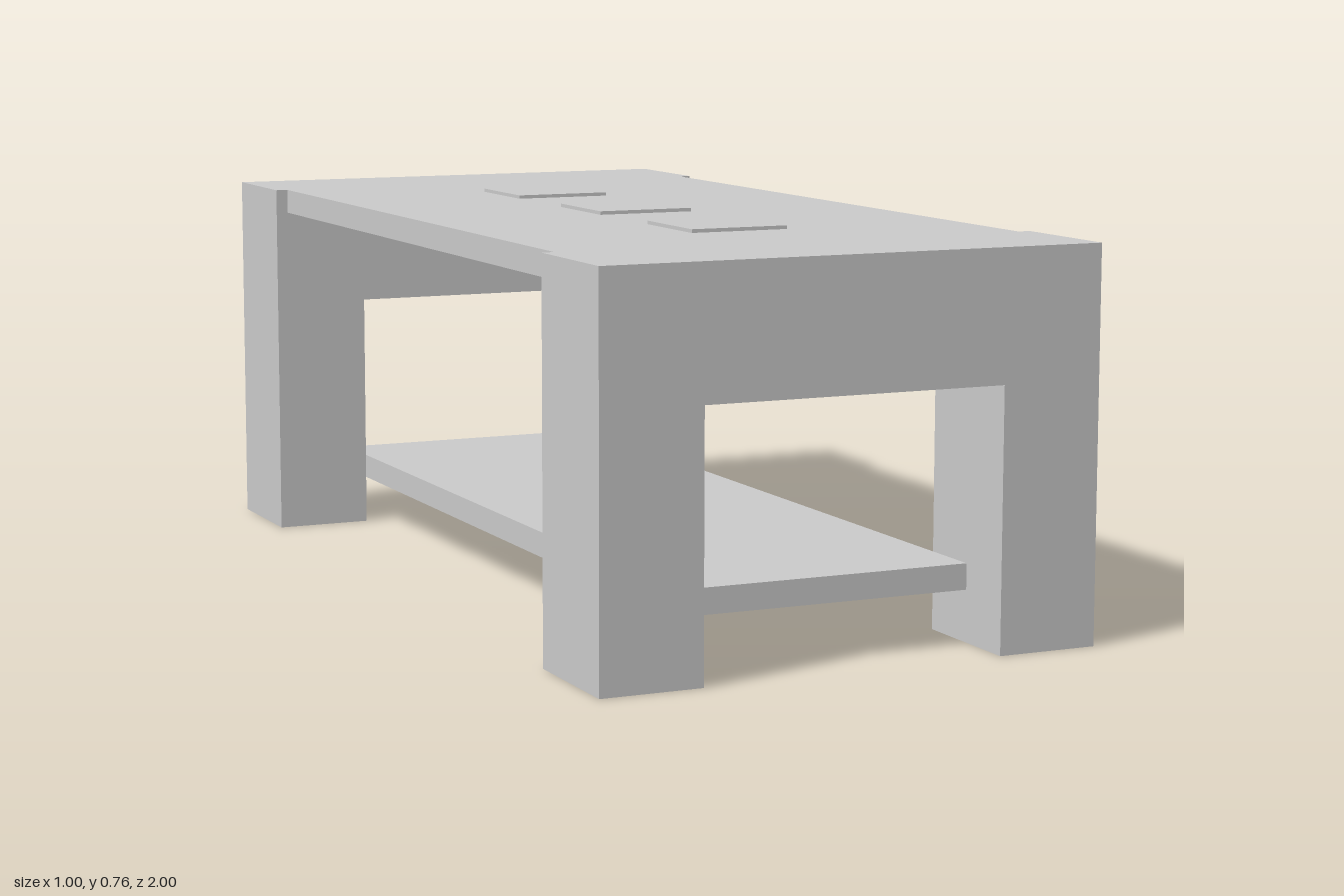
import * as THREE from 'three';

export function createModel() {
  const group = new THREE.Group();
  const grey = new THREE.MeshStandardMaterial({ color: 0xcccccc });
  const pale = new THREE.MeshStandardMaterial({ color: 0xf0f0f0 });

  function add(name, geometry, material, x, y, z) {
    const mesh = new THREE.Mesh(geometry, material);
    mesh.name = name;
    mesh.position.set(x, y, z);
    group.add(mesh);
  }

  // End frames: two legs joined by a deep rail, cut as one arch
  const arch = new THREE.Shape([
    [-0.5, 0], [-0.3, 0], [-0.3, 0.5], [0.3, 0.5],
    [0.3, 0], [0.5, 0], [0.5, 0.75], [-0.5, 0.75],
  ].map(([x, y]) => new THREE.Vector2(x, y)));
  const frame = new THREE.ExtrudeGeometry(arch, { depth: 0.25, bevelEnabled: false });
  add('frontFrame', frame, grey, 0, 0, 0.75);
  add('backFrame', frame, grey, 0, 0, -1);

  // Tabletop between the frames, flush with their tops
  add('tabletop', new THREE.BoxGeometry(0.95, 0.05, 1.5), grey, 0, 0.725, 0);

  // Lower shelf, reaching halfway into each frame
  add('shelf', new THREE.BoxGeometry(0.6, 0.05, 1.75), grey, 0, 0.125, 0);

  // Inlaid tiles standing slightly proud above and below
  const tile = new THREE.BoxGeometry(0.2, 0.064, 0.2);
  for (const z of [-0.425, 0, 0.425]) add('tile', tile, pale, 0, 0.725, z);

  return group;
}
